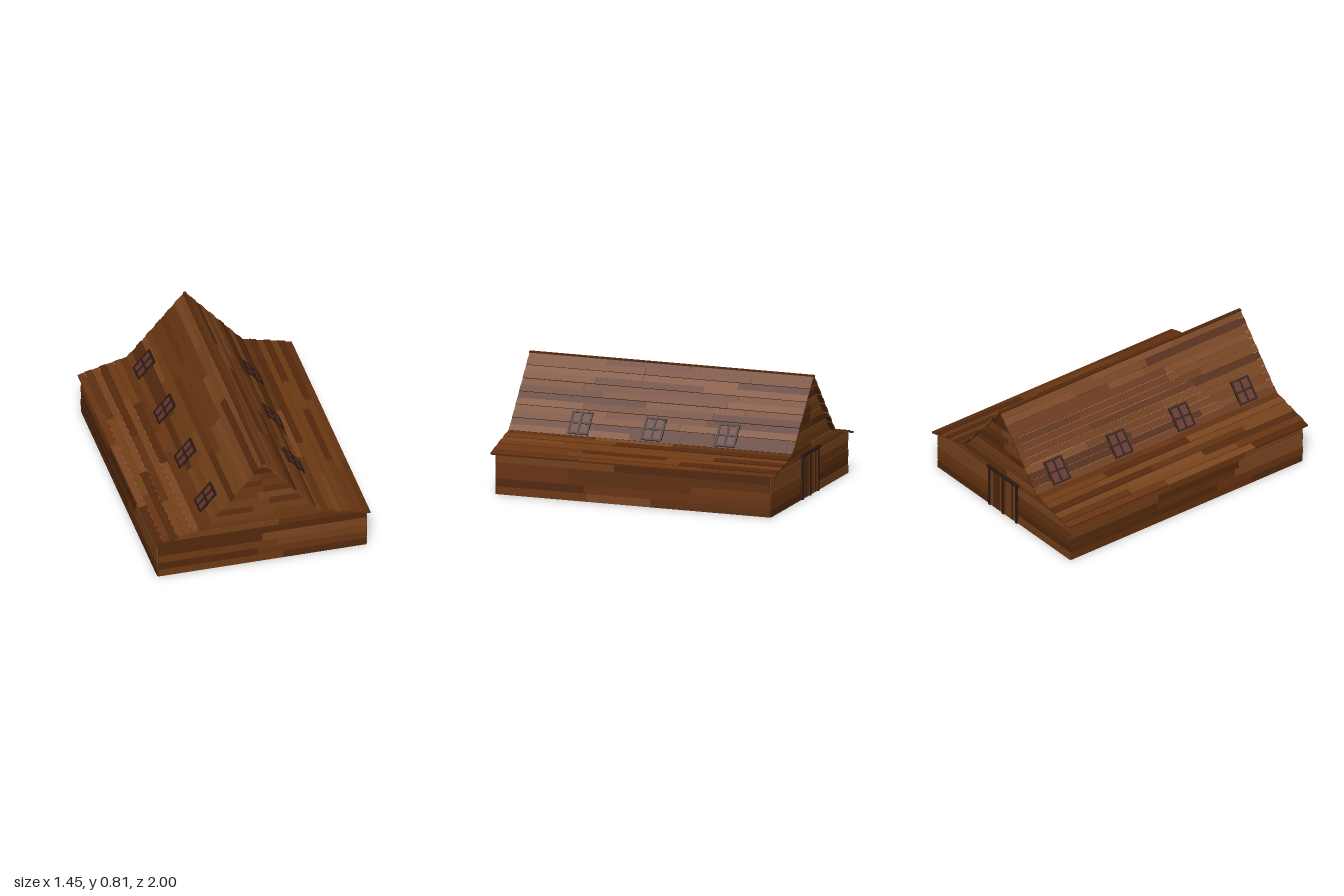
import * as THREE from 'three';

const woods = [0x6e3a14, 0x5f3010, 0x7a4520, 0x683412, 0x54290d, 0x74401a]
  .map(color => new THREE.MeshStandardMaterial({ color }));
const frameMat = new THREE.MeshStandardMaterial({ color: 0x2e1a12 });
const paneMat = new THREE.MeshStandardMaterial({ color: 0x63352a });

// Roof section from ridge to kink to eave
const RIDGE = [0, 0.8], KINK = [0.385, 0.354], EAVE = [0.726, 0.27];
const WALL_X = 0.705, WALL_Z = 0.96, WALL_H = 0.27, T = 0.012, GAP = 0.0015;

let seed = 7;
const rnd = () => (seed = (seed * 16807) % 2147483647) / 2147483647;
const wood = () => woods[Math.floor(rnd() * woods.length)];

function add(parent, name, geo, mat, x = 0, y = 0, z = 0) {
  const m = new THREE.Mesh(geo, mat);
  m.name = name;
  m.position.set(x, y, z);
  parent.add(m);
  return m;
}
const box = (w, h, d) => new THREE.BoxGeometry(w, h, d);

// Splits a run into random board lengths
function pieces(from, to) {
  const a = from + (to - from) * (0.2 + 0.25 * rnd());
  const b = from + (to - from) * (0.55 + 0.25 * rnd());
  return [[from, a], [a, b], [b, to]];
}

// One pitch of the roof: rows of long boards, slightly staggered in height
function roofPitch(parent, name, p, q, rows, side) {
  const g = new THREE.Group();
  g.name = name;
  const dx = q[0] - p[0], dy = q[1] - p[1];
  const len = Math.hypot(dx, dy);
  g.position.set(side * p[0], p[1], 0);
  g.rotation.z = Math.atan2(dy, side * dx);
  const w = len / rows;
  for (let i = 0; i < rows; i++) {
    for (const [a, b] of pieces(-0.997, 0.997)) {
      const lift = side * ((i % 2) * 0.004 + rnd() * 0.002);
      add(g, 'roofBoard', box(w - GAP, T, b - a - GAP), wood(), (i + 0.5) * w, lift, (a + b) / 2);
    }
  }
  parent.add(g);
}

// Half width of the gable under the roof at height y
function halfWidth(y) {
  if (y <= WALL_H) return WALL_X;
  const [p, q] = y < KINK[1] ? [KINK, EAVE] : [RIDGE, KINK];
  const x = p[0] + (q[0] - p[0]) * (p[1] - y) / (p[1] - q[1]);
  return Math.min(WALL_X, Math.max(0.002, x - 0.004));
}

// End wall: horizontal boards with ends cut to the roof line
function gable(parent, name, z) {
  const g = new THREE.Group();
  g.name = name;
  const levels = [0, 0.054, 0.108, 0.162, 0.216, WALL_H, 0.312, KINK[1]];
  for (let i = 1; i <= 9; i++) levels.push(KINK[1] + i * (0.795 - KINK[1]) / 9);
  for (let i = 0; i + 1 < levels.length; i++) {
    const y0 = levels[i], y1 = levels[i + 1] - GAP;
    const w0 = halfWidth(y0), w1 = halfWidth(y1);
    const cut = (rnd() - 0.5) * 0.5 * w1;
    for (const [l0, r0, l1, r1] of [[-w0, cut, -w1, cut], [cut, w0, cut, w1]]) {
      const s = new THREE.Shape([[l0, y0], [r0, y0], [r1, y1], [l1, y1]]
        .map(c => new THREE.Vector2(...c)));
      add(g, 'gableBoard', new THREE.ExtrudeGeometry(s, { depth: T, bevelEnabled: false }),
        wood(), 0, 0, z - T / 2 + (i % 2) * 0.003);
    }
  }
  parent.add(g);
}

// Long side wall
function sideWall(parent, name, side) {
  const g = new THREE.Group();
  g.name = name;
  const rows = 5, h = WALL_H / rows;
  for (let i = 0; i < rows; i++) {
    for (const [a, b] of pieces(-WALL_Z, WALL_Z)) {
      add(g, 'wallBoard', box(T, h - GAP, b - a - GAP), wood(),
        side * (WALL_X + (i % 2) * 0.003), (i + 0.5) * h, (a + b) / 2);
    }
  }
  parent.add(g);
}

// Roof window: dark frame and cross bars around four panes
function roofWindow(parent, side, z) {
  const g = new THREE.Group();
  g.name = 'roofWindow';
  const L = 0.17, W = 0.145, bar = 0.014, H = 0.034;
  for (const k of [-1, 0, 1]) {
    add(g, 'windowBarAcross', box(bar, H, W), frameMat, k * (L - bar) / 2);
    add(g, 'windowBarAlong', box(L, H - 0.002, bar), frameMat, 0, 0, k * (W - bar) / 2);
  }
  for (const a of [-1, 1]) for (const b of [-1, 1]) {
    add(g, 'windowPane', box(L / 2 - bar, 0.024, W / 2 - bar), paneMat, a * L / 4, 0, b * W / 4);
  }
  const x = 0.325, slope = (KINK[1] - RIDGE[1]) / KINK[0];
  g.position.set(side * x, RIDGE[1] + slope * x + 0.004, z);
  g.rotation.z = side * Math.atan(slope);
  parent.add(g);
}

// Double door with posts and lintel on the back wall
function door(parent) {
  const g = new THREE.Group();
  g.name = 'doubleDoor';
  for (const x of [-0.142, 0, 0.142]) {
    add(g, 'doorPost', box(0.018, 0.29, 0.034), frameMat, x, 0.145, 0);
  }
  add(g, 'doorLintel', box(0.33, 0.02, 0.044), frameMat, 0, 0.296, 0);
  for (const s of [-1, 1]) for (let i = 0; i < 5; i++) {
    add(g, 'doorBoard', box(0.0245, 0.28, 0.024), wood(), s * (0.0215 + i * 0.025), 0.144, 0);
  }
  g.position.z = -WALL_Z;
  parent.add(g);
}

export function createModel() {
  seed = 7;
  const model = new THREE.Group();
  model.name = 'plankBarn';

  for (const side of [-1, 1]) {
    const label = side > 0 ? 'left' : 'right';
    sideWall(model, label + 'Wall', side);
    roofPitch(model, label + 'UpperRoof', RIDGE, KINK, 12, side);
    roofPitch(model, label + 'LowerRoof', KINK, EAVE, 7, side);
  }
  gable(model, 'frontWall', WALL_Z);
  gable(model, 'backWall', -WALL_Z);

  // Ridge cap
  add(model, 'ridgeCap', box(0.022, 0.014, 2), woods[4], 0, 0.802, 0);

  for (const z of [-0.515, 0, 0.515]) roofWindow(model, 1, z);
  for (const z of [-0.78, -0.263, 0.257, 0.77]) roofWindow(model, -1, z);
  door(model);
  return model;
}
